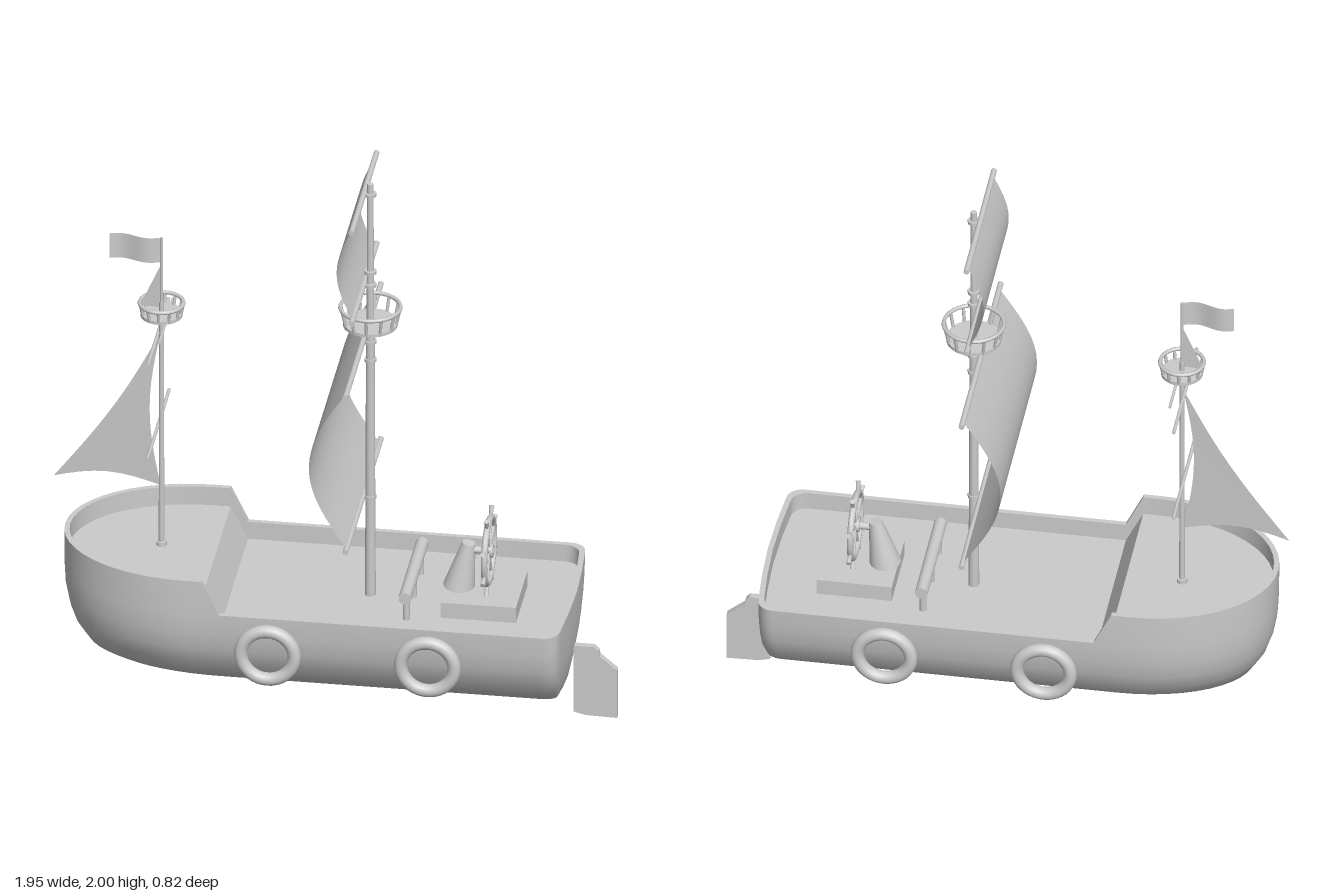
import * as THREE from 'three';
import { toCreasedNormals } from 'three/addons/utils/BufferGeometryUtils.js';

const material = new THREE.MeshStandardMaterial({ color: 0xcccccc, side: THREE.DoubleSide });
const V = (x, y, z) => new THREE.Vector3(x, y, z);

function add(parent, name, geometry) {
  const mesh = new THREE.Mesh(geometry, material);
  mesh.name = name;
  parent.add(mesh);
  return mesh;
}

// Round bar between two points.
function rod(parent, name, a, b, r1, r2 = r1, sides = 12) {
  const mesh = add(parent, name, new THREE.CylinderGeometry(r2, r1, a.distanceTo(b), sides));
  mesh.position.copy(a).add(b).multiplyScalar(0.5);
  mesh.quaternion.setFromUnitVectors(V(0, 1, 0), b.clone().sub(a).normalize());
  return mesh;
}

// Skin over rows of points, each row the same length.
function skin(rows, crease = 0.6) {
  const n = rows[0].length, index = [];
  for (let j = 0; j < rows.length - 1; j++)
    for (let i = 0; i < n - 1; i++) {
      const a = j * n + i, b = a + n;
      index.push(a, b, a + 1, a + 1, b, b + 1);
    }
  const g = new THREE.BufferGeometry().setFromPoints(rows.flat());
  g.setIndex(index);
  g.computeVertexNormals();
  return toCreasedNormals(g, crease);
}

// Half plan outline as [x, z] from bow tip to stern centre.
function halfOutline(inset) {
  const bow = -0.93 + inset, stern = 0.83 - inset, w = 0.345 - inset, pts = [];
  for (let k = 0; k <= 12; k++) {
    const a = (k / 12) * Math.PI / 2;
    pts.push([-0.47 + (bow + 0.47) * Math.cos(a), w * Math.sin(a)]);
  }
  for (const x of [-0.41, -0.35, 0, 0.4]) pts.push([x, w]);
  for (let k = 0; k <= 5; k++) {
    const a = (k / 5) * Math.PI / 2;
    pts.push([stern - 0.07 + 0.055 * Math.sin(a), w - 0.055 + 0.055 * Math.cos(a)]);
  }
  pts.push([stern - 0.005, w * 0.45], [stern, 0]);
  return pts;
}

// Height that steps down a slope from the bow to the main part.
const step = (x, high, low) => high + (low - high) * THREE.MathUtils.clamp((x + 0.41) / 0.06, 0, 1);
const rimY = x => step(x, 0.6, 0.475);
const deckY = x => step(x, 0.53, 0.41);

function hull(group) {
  const ring = half => [...half, ...half.slice(0, -1).reverse().map(([x, z]) => [x, -z])];
  const outer = ring(halfOutline(0)), inner = ring(halfOutline(0.018));
  const rim = outer.map(([x, z]) => V(x, rimY(x), z));
  const innerRim = inner.map(([x, z]) => V(x, rimY(x), z));

  // Levels below the rim: height, half width, bow x, stern x.
  const levels = [
    [0.475, 0.345, -0.929, 0.83], [0.4, 0.34, -0.925, 0.829], [0.33, 0.326, -0.912, 0.826],
    [0.27, 0.302, -0.892, 0.822], [0.2, 0.25, -0.85, 0.811], [0.15, 0.18, -0.78, 0.8],
    [0.112, 0.095, -0.66, 0.785], [0.088, 0, -0.48, 0.765]
  ];
  const rows = levels.map(([y, w, bow, stern]) => outer.map(([x, z]) =>
    V(bow + (x + 0.93) / 1.76 * (stern - bow), y, z / 0.345 * w)));
  add(group, 'hull', skin([rim, ...rows], 0.9));
  add(group, 'rim', skin([innerRim, rim]));
  add(group, 'bulwark', skin([inner.map(([x, z]) => V(x, deckY(x), z)), innerRim]));
  const half = halfOutline(0.018);
  add(group, 'deck', skin([-1, 1].map(s => half.map(([x, z]) => V(x, deckY(x), s * z))), 0.3));
}

// Square sail hung between two yards and bellied towards the bow.
function squareSail(group, name, x, y0, y1, halfWidth, yardHalf, belly) {
  const rows = [];
  for (let i = 0; i <= 16; i++) {
    const t = i / 16, px = x - belly * Math.sin(Math.PI * t);
    rows.push([-1, 1].map(s => V(px, y0 + (y1 - y0) * t, s * halfWidth)));
  }
  add(group, name, skin(rows));
  for (const y of [y0, y1]) rod(group, name + 'Yard', V(x, y, -yardHalf), V(x, y, yardHalf), 0.01);
}

function crowsNest(group, name, x, z, y0, y1, rBottom, rTop, posts) {
  const nest = new THREE.Group();
  nest.name = name;
  nest.position.set(x, 0, z);
  rod(nest, 'nestFloor', V(0, y0, 0), V(0, y0 + 0.012, 0), rBottom + 0.006, rBottom + 0.006, 24);
  const ring = add(nest, 'nestRail', new THREE.TorusGeometry(rTop - 0.007, 0.007, 8, 28));
  ring.rotation.x = Math.PI / 2;
  ring.position.y = y1 - 0.007;
  for (let i = 0; i < posts; i++) {
    const a = i / posts * Math.PI * 2, c = Math.cos(a), s = Math.sin(a);
    rod(nest, 'nestPost', V(c * rBottom, y0, s * rBottom), V(c * (rTop - 0.007), y1 - 0.007, s * (rTop - 0.007)), 0.006, 0.006, 6);
  }
  group.add(nest);
}

function mainMast(group) {
  const x = 0.12;
  rod(group, 'mainMastFoot', V(x, 0.41, 0), V(x, 0.78, 0), 0.019, 0.017);
  rod(group, 'mainMast', V(x, 0.78, 0), V(x, 1.45, 0), 0.017, 0.015);
  rod(group, 'mainTopmast', V(x, 1.45, 0), V(x, 2, 0), 0.013, 0.011);
  for (const y of [0.79, 1.32, 1.39, 1.61, 1.66, 1.96])
    rod(group, 'mastBand', V(x, y - 0.006, 0), V(x, y + 0.006, 0), 0.021);
  squareSail(group, 'mainSail', 0.095, 0.79, 1.39, 0.38, 0.41, 0.13);
  squareSail(group, 'topSail', 0.098, 1.613, 1.963, 0.262, 0.29, 0.055);
  crowsNest(group, 'mainNest', x, 0, 1.455, 1.53, 0.088, 0.11, 12);
}

function foreMast(group) {
  const x = -0.602, z = -0.025;
  rod(group, 'foreMastFoot', V(x, 0.53, z), V(x, 0.545, z), 0.018);
  rod(group, 'foreMast', V(x, 0.53, z), V(x, 1.47, z), 0.01, 0.008);
  rod(group, 'flagPole', V(x, 1.47, z), V(x, 1.72, z), 0.005);
  rod(group, 'foreYard', V(x - 0.012, 0.992, -0.28), V(x - 0.012, 0.992, 0.22), 0.006);
  rod(group, 'foreYard', V(x - 0.012, 1.35, -0.27), V(x - 0.012, 1.35, 0.21), 0.006);
  rod(group, 'foreYard', V(x + 0.015, 1.395, -0.19), V(x + 0.015, 1.395, 0.13), 0.005);
  crowsNest(group, 'foreNest', x, z, 1.42, 1.475, 0.066, 0.082, 12);

  // Three-cornered sail with hollow edges.
  const sail = [], flag = [[], []];
  for (let j = 0; j <= 12; j++) {
    const t = j / 12, row = [], hollow = Math.sin(Math.PI * t);
    for (let i = 0; i <= 8; i++) {
      const u = i / 8;
      const front = -0.607 - 0.368 * t + 0.025 * hollow, back = -0.605 - 0.038 * hollow;
      row.push(V(front + (back - front) * u, 1.35 - 0.59 * t + 0.035 * t ** 3 * Math.sin(Math.PI * u),
        z - 0.015 * (1 - u) * t));
    }
    sail.push(row);
    flag.forEach((f, k) => f.push(V(x - 0.18 * t, 1.625 + 0.095 * k, z + 0.012 * Math.sin(t * 6))));
  }
  add(group, 'foreSail', skin(sail));
  add(group, 'flag', skin(flag));
  add(group, 'pennant', skin([[V(x, 1.62, z), V(x, 1.62, z)], [V(x - 0.075, 1.45, z - 0.005), V(x, 1.45, z)]]));
}

function helm(group) {
  add(group, 'helmPlatform', new THREE.BoxGeometry(0.26, 0.06, 0.27)).position.set(0.51, 0.438, -0.005);
  // Leaning pedestal, upright on the wheel side.
  rod(group, 'helmPedestal', V(0.425, 0.465, 0), V(0.459, 0.637, 0), 0.055, 0.023, 20);
  rod(group, 'wheelAxle', V(0.46, 0.612, 0), V(0.545, 0.612, 0), 0.013);
  const wheel = new THREE.Group();
  wheel.name = 'wheel';
  wheel.position.set(0.528, 0.612, 0);
  wheel.rotation.y = Math.PI / 2;
  add(wheel, 'wheelRim', new THREE.TorusGeometry(0.114, 0.011, 10, 40));
  rod(wheel, 'wheelHub', V(0, 0, -0.015), V(0, 0, 0.015), 0.024);
  for (let i = 0; i < 8; i++) {
    const a = (i + 0.5) * Math.PI / 4, d = V(Math.cos(a), Math.sin(a), 0);
    rod(wheel, 'wheelSpoke', V(0, 0, 0), d.clone().multiplyScalar(0.125), 0.006);
    rod(wheel, 'wheelHandle', d.clone().multiplyScalar(0.122), d.clone().multiplyScalar(0.155), 0.006, 0.009);
  }
  group.add(wheel);
}

export function createModel() {
  const ship = new THREE.Group();
  ship.name = 'sailingShip';
  hull(ship);
  mainMast(ship);
  foreMast(ship);
  helm(ship);

  // Rail across the deck
  rod(ship, 'deckRail', V(0.267, 0.508, -0.21), V(0.267, 0.508, 0.195), 0.022, 0.022, 16);
  for (const z of [-0.17, -0.007, 0.155]) rod(ship, 'railPost', V(0.267, 0.41, z), V(0.267, 0.5, z), 0.012);

  // Life rings on both sides
  for (const s of [-1, 1])
    for (const x of [-0.18, 0.37])
      add(ship, 'lifeRing', new THREE.TorusGeometry(0.092, 0.023, 14, 40)).position.set(x, 0.343, s * 0.36);

  // Rudder
  const blade = new THREE.Shape([
    [0.82, 0.015], [0.86, 0.005], [0.97, 0.002], [0.97, 0.185], [0.935, 0.215], [0.91, 0.235],
    [0.905, 0.255], [0.89, 0.27], [0.82, 0.27]
  ].map(p => new THREE.Vector2(...p)));
  add(ship, 'rudder', new THREE.ExtrudeGeometry(blade, { depth: 0.024, bevelEnabled: false })).position.z = -0.017;
  return ship;
}
